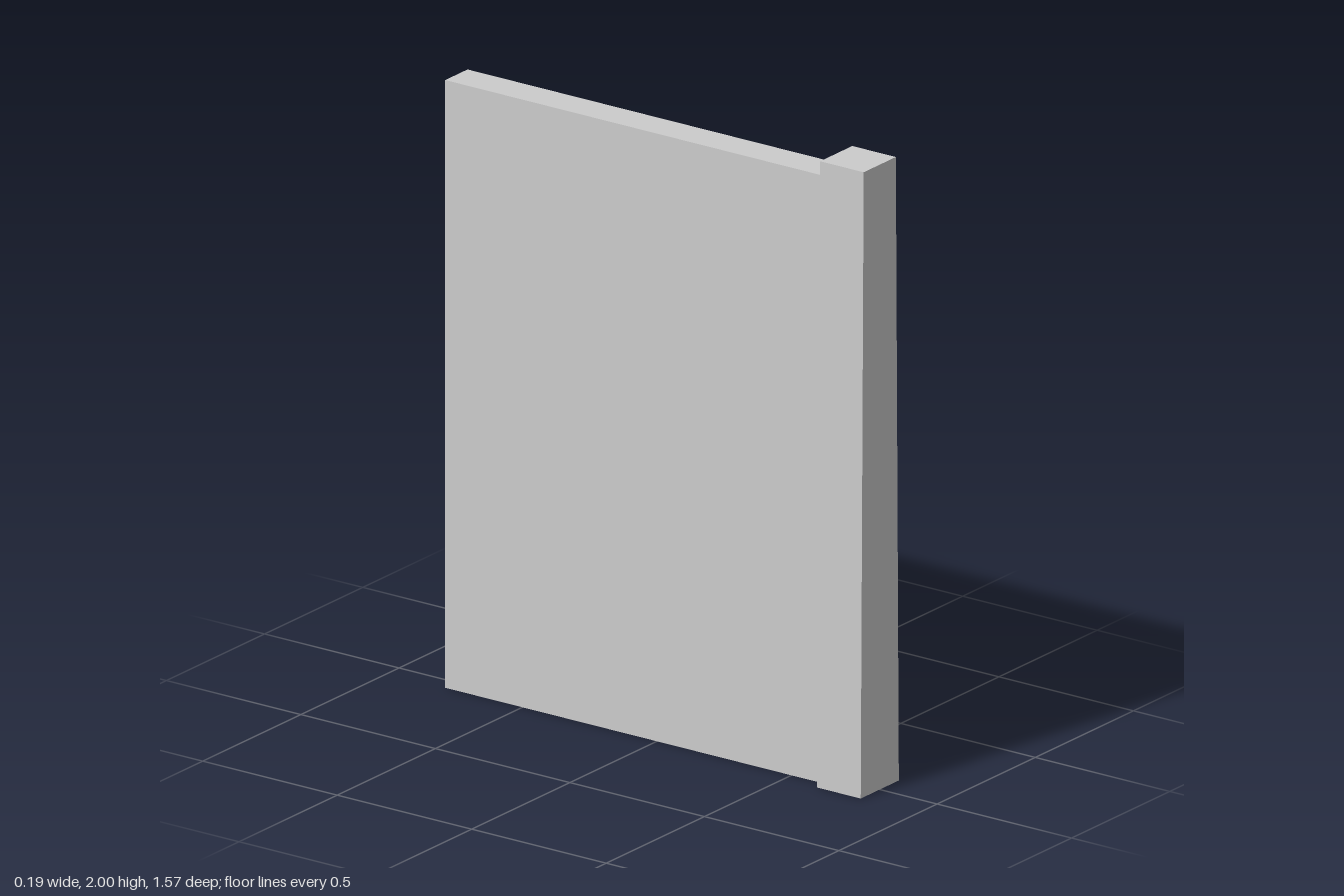
import * as THREE from 'three';

const material = new THREE.MeshStandardMaterial({ color: 0xcccccc, side: THREE.DoubleSide, flatShading: true });

// Box shell standing on y = 0, open underneath, with its sides leaning from bottomWidth to topWidth
function openShell(name, bottomWidth, topWidth, height, zBack, zFront) {
  const geometry = new THREE.BoxGeometry(1, height, zFront - zBack);
  geometry.translate(0, height / 2, (zBack + zFront) / 2);
  const p = geometry.attributes.position;
  for (let i = 0; i < p.count; i++) {
    p.setX(i, p.getX(i) * (p.getY(i) > height / 2 ? topWidth : bottomWidth));
  }
  // Leave out the underside (fourth face of the box)
  const index = Array.from(geometry.index.array);
  index.splice(18, 6);
  geometry.setIndex(index);
  geometry.clearGroups();
  geometry.computeVertexNormals();
  const mesh = new THREE.Mesh(geometry, material);
  mesh.name = name;
  return mesh;
}

export function createModel() {
  const model = new THREE.Group();
  model.name = 'wallWithPost';
  // Tapered end post
  model.add(openShell('post', 0.194, 0.164, 2, 0.625, 0.787));
  // Straight wall panel, running into the post
  model.add(openShell('wallPanel', 0.114, 0.114, 1.945, -0.787, 0.77));
  return model;
}
